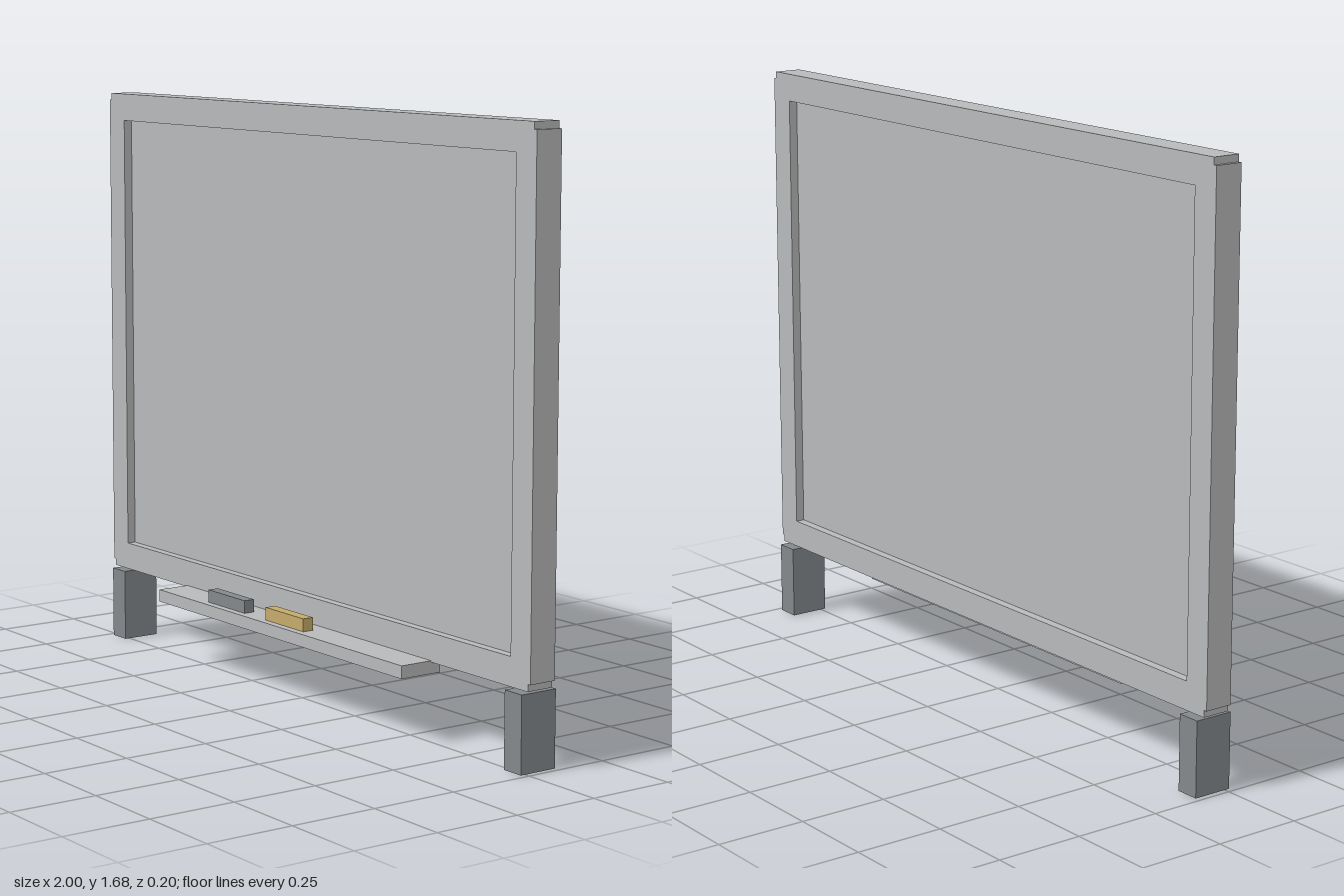
import * as THREE from 'three';

const material = (name, color) => {
  const m = new THREE.MeshStandardMaterial({ color });
  m.name = name;
  return m;
};

export function createModel() {
  const group = new THREE.Group();
  const lightGrey = material('light grey', 0xb8b9ba);
  const darkGrey = material('dark grey', 0x84888b);
  const ochre = material('ochre', 0xc4aa6a);

  const add = (name, geometry, mat) => {
    const mesh = new THREE.Mesh(geometry, mat);
    mesh.name = name;
    group.add(mesh);
    return mesh;
  };
  // box from its minimum and maximum corners
  const box = (name, mat, [x0, y0, z0], [x1, y1, z1]) => {
    const g = new THREE.BoxGeometry(x1 - x0, y1 - y0, z1 - z0);
    g.translate((x0 + x1) / 2, (y0 + y1) / 2, (z0 + z1) / 2);
    return add(name, g, mat);
  };

  // frame: notched corners where rails meet stiles, open in the middle
  const outline = new THREE.Shape([
    [-0.99, 0.22], [0.99, 0.22], [0.99, 0.24], [1, 0.24],
    [1, 1.66], [0.99, 1.66], [0.99, 1.68], [-0.99, 1.68],
    [-0.99, 1.66], [-1, 1.66], [-1, 0.24], [-0.99, 0.24],
  ].map(([x, y]) => new THREE.Vector2(x, y)));
  outline.holes.push(new THREE.Path([
    [-0.92, 0.3], [-0.92, 1.6], [0.92, 1.6], [0.92, 0.3],
  ].map(([x, y]) => new THREE.Vector2(x, y))));
  const frame = new THREE.ExtrudeGeometry(outline, { depth: 0.082, bevelEnabled: false });
  frame.translate(0, 0, -0.082);
  add('frame', frame, lightGrey);

  // writing surface, recessed on both faces
  box('board', lightGrey, [-0.92, 0.3, -0.056], [0.92, 1.6, -0.026]);

  // tray with an eraser and a chalk stick
  box('tray', lightGrey, [-0.59, 0.188, -0.03], [0.59, 0.224, 0.1]);
  box('eraser', darkGrey, [-0.36, 0.224, 0.045], [-0.175, 0.261, 0.078]);
  box('chalk', ochre, [-0.07, 0.224, 0.045], [0.113, 0.261, 0.078]);

  // feet
  for (const [name, x] of [['leftLeg', 0.95], ['rightLeg', -0.95]]) {
    box(name, darkGrey, [x - 0.034, 0, -0.1], [x + 0.034, 0.213, 0.015]);
  }
  return group;
}
